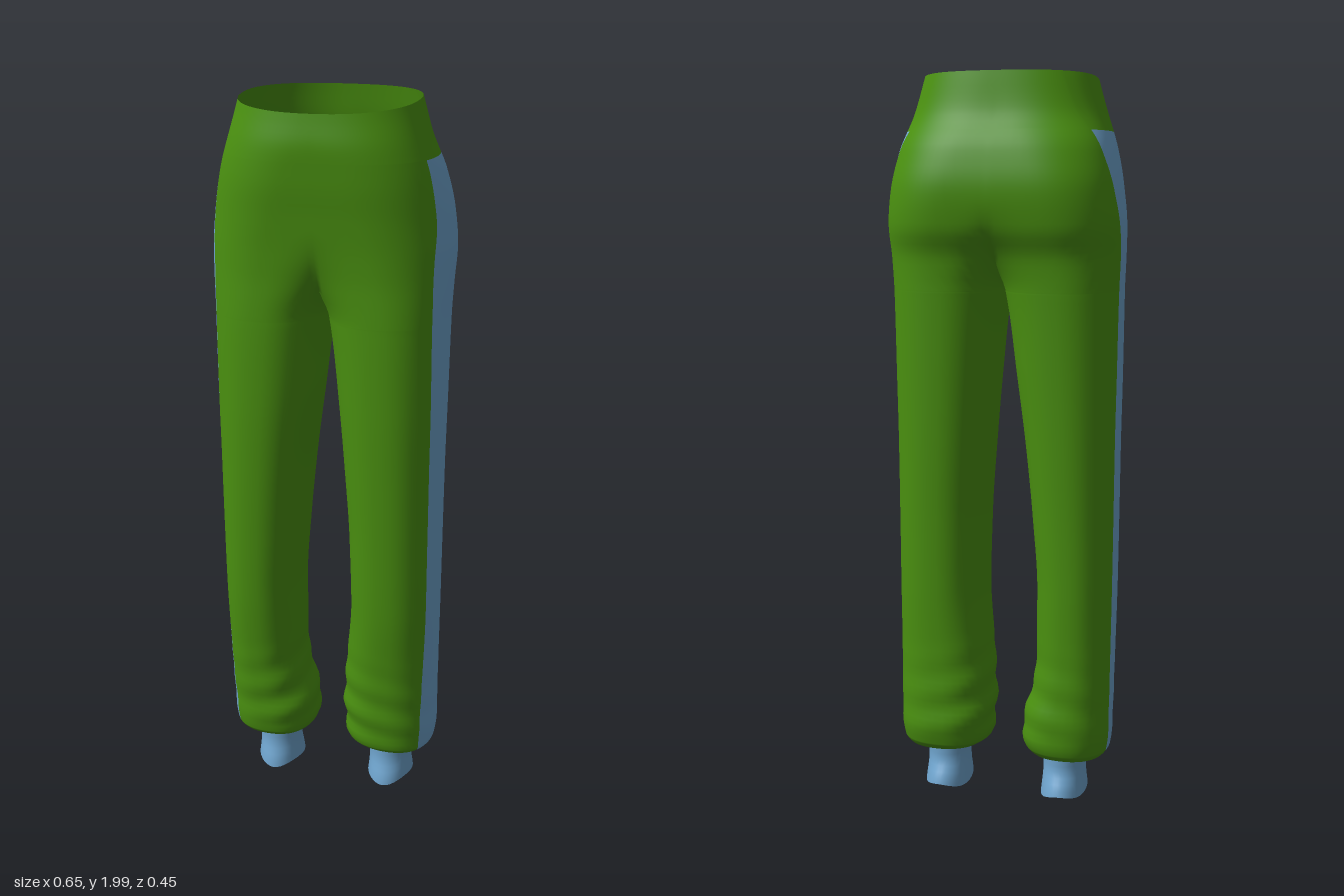
import * as THREE from 'three';
import { mergeVertices } from 'three/addons/utils/BufferGeometryUtils.js';

// Per height: y, outer x, inner x (left leg), inner x (right leg), front z, back z, stripe front z, stripe back z
const SECTIONS = [
  [2.00, 0.235, -0.235, -0.235, 0.215, -0.145, 0.10, -0.10],
  [1.90, 0.262, -0.210, -0.210, 0.224, -0.162, 0.10, -0.10],
  [1.80, 0.294, -0.160, -0.160, 0.217, -0.208, 0.095, -0.097],
  [1.70, 0.314, -0.115, -0.115, 0.203, -0.226, 0.093, -0.085],
  [1.60, 0.323, -0.070, -0.070, 0.192, -0.214, 0.108, -0.062],
  [1.52, 0.320, -0.035, -0.035, 0.188, -0.185, 0.112, -0.040],
  [1.43, 0.316, 0.000, 0.000, 0.188, -0.176, 0.112, -0.036],
  [1.20, 0.313, 0.028, 0.032, 0.185, -0.166, 0.108, -0.036],
  [1.00, 0.310, 0.045, 0.058, 0.178, -0.160, 0.103, -0.036],
  [0.80, 0.309, 0.058, 0.078, 0.168, -0.154, 0.098, -0.037],
  [0.60, 0.308, 0.062, 0.092, 0.155, -0.150, 0.090, -0.040],
  [0.40, 0.306, 0.046, 0.092, 0.132, -0.146, 0.080, -0.044],
  [0.28, 0.305, 0.038, 0.070, 0.120, -0.148, 0.074, -0.048],
  [0.20, 0.304, 0.038, 0.052, 0.112, -0.150, 0.070, -0.050],
  [0.155, 0.300, 0.046, 0.060, 0.106, -0.142, 0.066, -0.050],
  [0.13, 0.284, 0.075, 0.080, 0.084, -0.122, 0.050, -0.045],
  [0.122, 0.238, 0.106, 0.106, 0.052, -0.088, 0.030, -0.040],
];
const STRIPE_TOP = 1.85, CROTCH = 1.43, POWER = 0.88;
const PANELS = [18, 8, 18]; // columns in the back panel, stripe and front panel
const smooth = THREE.MathUtils.smoothstep;

// Smooth interpolation through one column of the section table
function sample(col, y) {
  let i = 0;
  while (i < SECTIONS.length - 2 && y < SECTIONS[i + 1][0]) i++;
  const slope = (a, b) => (SECTIONS[b][col] - SECTIONS[a][col]) / (SECTIONS[b][0] - SECTIONS[a][0]);
  const last = SECTIONS.length - 1;
  const tangent = (k) => {
    if (k === 0) return slope(0, 1);
    if (k === last) return slope(last - 1, last);
    const a = slope(k - 1, k), b = slope(k, k + 1);
    return a * b <= 0 ? 0 : (2 * a * b) / (a + b);
  };
  const [y0, y1] = [SECTIONS[i][0], SECTIONS[i + 1][0]], h = y1 - y0, t = (y - y0) / h;
  const t2 = t * t, t3 = t2 * t;
  return (2 * t3 - 3 * t2 + 1) * SECTIONS[i][col] + (t3 - 2 * t2 + t) * h * tangent(i)
    + (3 * t2 - 2 * t3) * SECTIONS[i + 1][col] + (t3 - t2) * h * tangent(i + 1);
}

// One row of points on one side, from the back seam round the outside to the front seam
function sectionRow(y, side) {
  const out = sample(1, y), inner = sample(side > 0 ? 2 : 3, y);
  const front = sample(4, y), back = sample(5, y);
  const cx = (out + inner) / 2, a = (out - inner) / 2;
  const cz = (front + back) / 2, b = (front - back) / 2;
  // above the crotch the ring stops at the centre plane
  const end = inner >= -1e-9 ? Math.PI : Math.PI - Math.acos(Math.pow(Math.max(0, cx / a), 1 / POWER));
  const angleAt = (z) => {
    const s = THREE.MathUtils.clamp((z - cz) / b, -0.95, 0.95);
    return Math.sign(s) * Math.asin(Math.pow(Math.abs(s), 1 / POWER));
  };
  const stops = [-end, angleAt(sample(7, y)), angleAt(sample(6, y)), end];
  const flat = smooth(y, CROTCH, 1.68);
  const fold = smooth(y, 0.13, 0.2) * (1 - smooth(y, 0.22, 0.5));
  const points = [];
  const add = (t) => {
    const c = Math.cos(t), s = Math.sin(t);
    const closed = Math.abs(Math.abs(t) - Math.PI) < 1e-9;
    let ex = Math.sign(c) * Math.pow(Math.abs(c), POWER);
    let ez = closed ? 0 : Math.pow(Math.abs(s), POWER);
    if (c < 0) ez = THREE.MathUtils.lerp(ez, 1, flat); // flat across the seat and belly
    ez *= Math.sign(t);
    // gathered folds above the ankle
    const wave = 1 + fold * 0.045 * Math.sin(y * 62 + 2.2 * Math.cos(t + 0.6 * side)) * (0.55 - 0.45 * Math.cos(t));
    let x = cx + a * ex * wave;
    if (inner <= 1e-9 && Math.abs(Math.abs(t) - end) < 1e-9) x = 0;
    const z = cz + b * ez * wave;
    const dip = 0.035 * smooth(y, 1.82, 2) * Math.pow(Math.max(0, (z + 0.14) / 0.36), 1.7);
    points.push([side * x, y - dip, z]);
  };
  PANELS.forEach((n, p) => {
    for (let i = 0; i < n; i++) add(THREE.MathUtils.lerp(stops[p], stops[p + 1], i / n));
  });
  add(end);
  return points;
}

// Both sides lofted and welded; panels share smooth normals
function buildCloth(group, green, blue) {
  const heights = [STRIPE_TOP, CROTCH, 1.432, 1.436, 1.445, 0.15, 0.145, 0.135, 0.13, 0.126, 0.122];
  for (let y = 2; y > 0.155; y -= 0.0185) heights.push(y);
  heights.sort((p, q) => q - p);
  const positions = [];
  const faces = { body: [], leftStripe: [], rightStripe: [] };
  const cols = PANELS[0] + PANELS[1] + PANELS[2] + 1;
  for (const side of [1, -1]) {
    const base = positions.length / 3;
    heights.forEach((y) => positions.push(...sectionRow(y, side).flat()));
    for (let r = 0; r < heights.length - 1; r++) {
      for (let c = 0; c < cols - 1; c++) {
        const striped = heights[r] <= STRIPE_TOP && c >= PANELS[0] && c < PANELS[0] + PANELS[1];
        const list = !striped ? faces.body : side > 0 ? faces.leftStripe : faces.rightStripe;
        const p = base + r * cols + c, q = p + 1, s = p + cols, t = s + 1;
        if (side > 0) list.push(p, q, s, q, t, s);
        else list.push(p, s, q, q, s, t);
      }
    }
  }
  let cloth = new THREE.BufferGeometry();
  cloth.setAttribute('position', new THREE.Float32BufferAttribute(positions, 3));
  cloth.setIndex(Object.values(faces).flat());
  cloth = mergeVertices(cloth, 1e-5);
  cloth.computeVertexNormals();
  const index = Array.from(cloth.index.array);
  let start = 0;
  for (const [name, list] of Object.entries(faces)) {
    const part = new THREE.BufferGeometry();
    part.setAttribute('position', cloth.attributes.position);
    part.setAttribute('normal', cloth.attributes.normal);
    part.setIndex(index.slice(start, start + list.length));
    start += list.length;
    const mesh = new THREE.Mesh(part, name === 'body' ? green : blue);
    mesh.name = name;
    group.add(mesh);
  }
}

// Ribbed ankle cuff: an open tube that flares front to back at its lower edge
function buildCuff(side, material) {
  const geo = new THREE.CylinderGeometry(1, 1, 1, 36, 8, true);
  const pos = geo.attributes.position;
  for (let i = 0; i < pos.count; i++) {
    const x = pos.getX(i), z = pos.getZ(i), k = 0.5 - pos.getY(i); // k: 0 top, 1 bottom
    const flare = smooth(k, 0.45, 1);
    pos.setXYZ(i,
      side * (0.171 + x * (0.065 - 0.005 * Math.sin(k * Math.PI))),
      0.15 - k * 0.135 + flare * (0.006 * Math.sin(3 * Math.atan2(z, x)) + 0.003 * x),
      -0.017 - 0.005 * flare + z * (0.073 + 0.026 * flare));
  }
  if (side < 0) geo.index.array.reverse(); // keep faces outward after mirroring
  const cuff = new THREE.Mesh(mergeVertices(geo.deleteAttribute('uv').deleteAttribute('normal'), 1e-5), material);
  cuff.geometry.computeVertexNormals();
  cuff.name = side > 0 ? 'leftCuff' : 'rightCuff';
  return cuff;
}

export function createModel() {
  const group = new THREE.Group();
  group.name = 'trousers';
  const green = new THREE.MeshStandardMaterial({ color: 0x4a9010, side: THREE.DoubleSide });
  const blue = new THREE.MeshStandardMaterial({ color: 0x6ea3cc, side: THREE.DoubleSide });
  buildCloth(group, green, blue);
  for (const side of [1, -1]) group.add(buildCuff(side, blue));
  return group;
}
